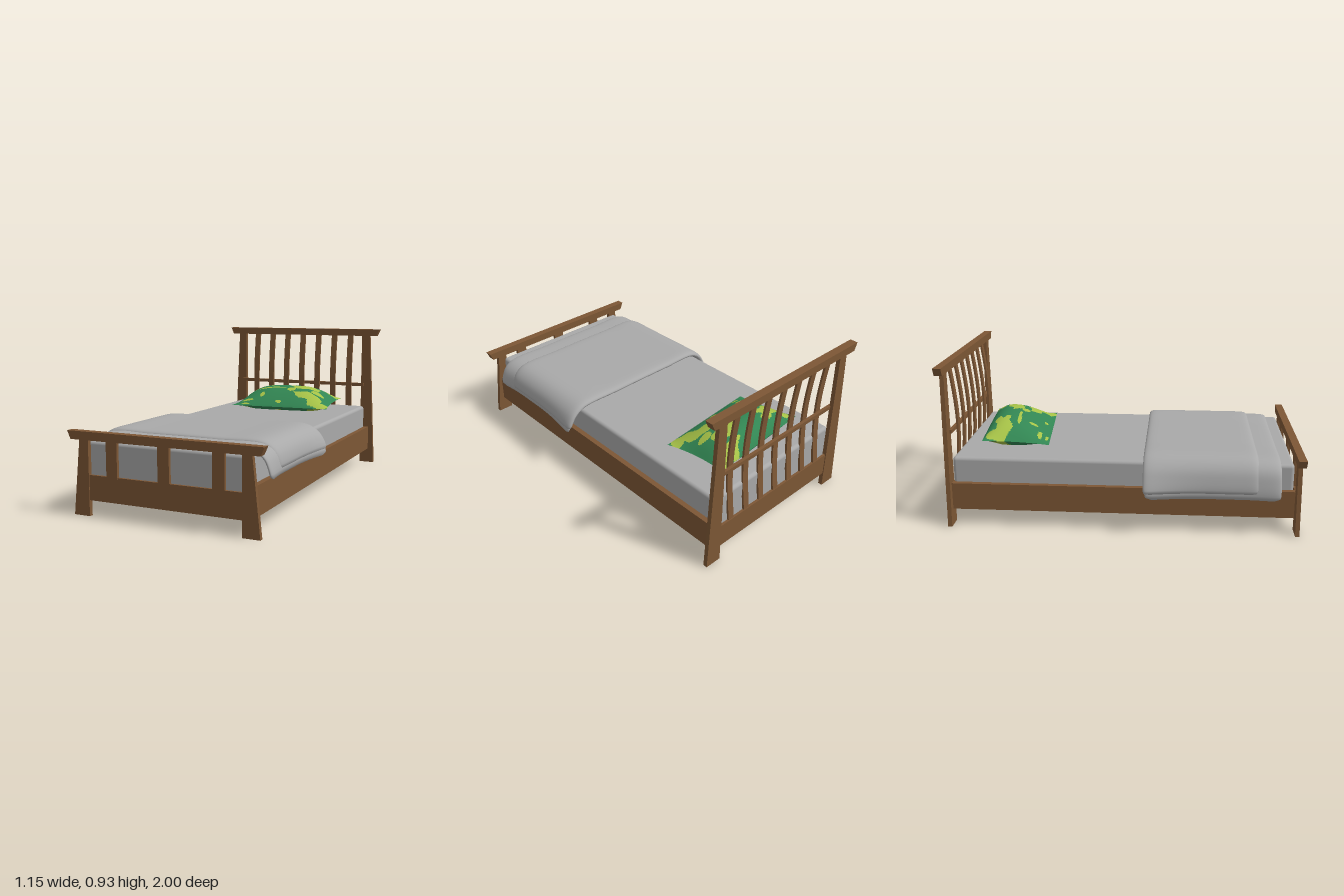
import * as THREE from 'three';
import { RoundedBoxGeometry } from 'three/addons/geometries/RoundedBoxGeometry.js';

const CX = 0.01; // centre line of the frame

function makeMaterial(name, color) {
  const m = new THREE.MeshStandardMaterial({ color });
  m.name = name;
  return m;
}

function addMesh(parent, name, geometry, material, x = 0, y = 0, z = 0) {
  const mesh = new THREE.Mesh(geometry, material);
  mesh.name = name;
  mesh.position.set(x, y, z);
  parent.add(mesh);
  return mesh;
}

// Box given by its limits on each axis
function addBox(parent, name, material, [x0, x1], [y0, y1], [z0, z1]) {
  return addMesh(parent, name, new THREE.BoxGeometry(x1 - x0, y1 - y0, z1 - z0), material,
    (x0 + x1) / 2, (y0 + y1) / 2, (z0 + z1) / 2);
}

// Flat outline in one plane, extruded from z0 to z1
function slab(points, z0, z1) {
  const shape = new THREE.Shape(points.map(([x, y]) => new THREE.Vector2(x, y)));
  return new THREE.ExtrudeGeometry(shape, { depth: z1 - z0, bevelEnabled: false }).translate(0, 0, z0);
}

// Grid surface from a rule; pick(a, b) chooses the material group of each cell
function gridSurface(na, nb, rule, flip = false, pick = () => 0, groups = 1) {
  const pos = [];
  for (let i = 0; i <= na; i++) for (let j = 0; j <= nb; j++) pos.push(...rule(i / na, j / nb));
  const lists = Array.from({ length: groups }, () => []);
  for (let i = 0; i < na; i++) for (let j = 0; j < nb; j++) {
    const p = i * (nb + 1) + j, q = p + nb + 1;
    const list = lists[pick((i + 0.5) / na, (j + 0.5) / nb)];
    if (flip) list.push(p, q, p + 1, p + 1, q, q + 1);
    else list.push(p, p + 1, q, p + 1, q + 1, q);
  }
  const g = new THREE.BufferGeometry();
  g.setAttribute('position', new THREE.Float32BufferAttribute(pos, 3));
  g.setIndex(lists.flat());
  let start = 0;
  lists.forEach((l, k) => { g.addGroup(start, l.length, k); start += l.length; });
  g.computeVertexNormals();
  return g;
}

// Two tapered posts, a recessed lower panel and a flared cap
function bedEnd(name, wood, height, z, back) {
  const end = new THREE.Group();
  end.name = name;
  for (const s of [-1, 1]) {
    const pts = [[0.439, 0], [0.535, 0], [0.493, height], [0.439, height]].map(([x, y]) => [CX + s * x, y]);
    addMesh(end, 'post', slab(pts, z - 0.012, z + 0.012), wood);
  }
  addBox(end, 'lowerPanel', wood, [CX - 0.44, CX + 0.44], [0.085, 0.22], [z - 0.007, z + 0.007]);
  const cap = [[-0.54, 0], [0.54, 0], [0.56, 0.045], [-0.56, 0.045]].map(([x, y]) => [CX + x, height + y]);
  addMesh(end, 'cap', slab(cap, back, back + 0.045), wood);
  return end;
}

// Folded blanket layer: a thick sheet hung along a path across the bed
function blanketLayer(path, z0, z1, thick) {
  const curve = new THREE.CatmullRomCurve3(path.map(([x, y]) => new THREE.Vector3(x, y, 0)));
  const mid = (z0 + z1) / 2, half = (z1 - z0) / 2;
  return gridSurface(90, 72, (a, b) => {
    const top = b <= 0.5;
    const s = Math.sin((top ? 4 * b - 1 : 3 - 4 * b) * Math.PI / 2);
    const p = curve.getPointAt(a), t = curve.getTangentAt(a);
    const hem = Math.sqrt(Math.max(0, 1 - Math.abs(2 * a - 1) ** 60));
    const edge = Math.sqrt(Math.max(0, 1 - Math.abs(s) ** 16));
    const n = (top ? 1 : -1) * thick * hem * edge;
    const z = mid + s * (half - 0.04 * (1 - hem));
    const drop = THREE.MathUtils.clamp((0.41 - p.y) / 0.16, 0, 1);
    const flare = 0.045 * Math.max(0, (0.5 - z) / 0.37) ** 2 + 0.015 * Math.max(0, (z - 0.65) / 0.2) ** 2;
    return [p.x - t.y * n + Math.sign(p.x) * drop * flare, p.y + t.x * n, z];
  });
}

// Light patches on the pillow: x, z, half width, half depth, turn
const PATCHES = [
  [-0.195, -0.715, 0.1, 0.045, 0.1], [-0.275, -0.76, 0.04, 0.05, 0], [-0.14, -0.75, 0.05, 0.025, 0.2],
  [0.25, -0.82, 0.1, 0.042, 0.1], [0.15, -0.79, 0.05, 0.015, 0.2],
  [0.14, -0.705, 0.095, 0.05, 0.2], [0.06, -0.635, 0.03, 0.025, 0.3], [-0.095, -0.638, 0.1, 0.01, 0.1],
  [0.18, -0.588, 0.09, 0.036, 0], [0.24, -0.65, 0.04, 0.025, 0], [0.285, -0.525, 0.075, 0.04, 0],
  [0.25, -0.56, 0.05, 0.04, 0], [-0.12, -0.55, 0.015, 0.03, 0], [-0.21, -0.5, 0.045, 0.012, 0],
  [0.02, -0.50, 0.02, 0.01, 0], [-0.2, -0.46, 0.03, 0.008, 0],
];

function isPatch(x, z) {
  const wob = 0.25 * Math.sin(x * 60 + z * 35) + 0.2 * Math.sin(z * 85 - x * 40);
  return PATCHES.some(([px, pz, w, d, turn]) => {
    const c = Math.cos(turn), s = Math.sin(turn), dx = x - px, dz = z - pz;
    return ((dx * c - dz * s) / w) ** 2 + ((dx * s + dz * c) / d) ** 2 < 1 + wob;
  });
}

// Pillow face: four corners, short sides drawn in, puffed away from the seam
function pillowPoint(a, b, side) {
  const u = 2 * a - 1, v = 2 * b - 1;
  const lerp = THREE.MathUtils.lerp;
  let x = lerp(lerp(-0.333, 0.339, a), lerp(-0.29, 0.36, a), b);
  const z = lerp(lerp(-0.815, -0.87, a), lerp(-0.435, -0.49, a), b);
  x -= u * 0.02 * (1 - v * v);
  const w = v + 0.22 * (1 - v * v); // fullest part sits nearer the headboard
  const puff = (1 - Math.abs(u) ** 3.5) ** 1.1 * (1 - Math.abs(w) ** 2.2) ** 0.85;
  const seam = lerp(0.452, 0.422, b);
  const y = side > 0 ? seam + 0.1 * puff : Math.max(0.397, seam - 0.08 * puff);
  return [x, y, z];
}

export function createModel() {
  const wood = makeMaterial('brownWood', 0x7d5735);
  const cloth = makeMaterial('greyCloth', 0xa9a9a9);
  const green = makeMaterial('darkGreen', 0x328653);
  const lime = makeMaterial('limeGreen', 0xa6c247);
  const bed = new THREE.Group();
  bed.name = 'bed';

  // Headboard with bowed slats and a thin crossbar
  const head = bedEnd('headboard', wood, 0.88, -0.974, -1);
  const bow = [];
  for (let i = 0; i <= 14; i++) bow.push([0.2 + 0.69 * i / 14, 0.03 * Math.sin(Math.PI * i / 14)]);
  const outline = [...bow.map(([y, z]) => [-z, y]), ...bow.reverse().map(([y, z]) => [0.012 - z, y])];
  const slat = slab(outline, -0.019, 0.019).rotateY(Math.PI / 2);
  for (let i = -3; i <= 3; i++) addMesh(head, 'headSlat', slat, wood, 0.014 + i * 0.117, 0, -0.968);
  addBox(head, 'crossbar', wood, [-0.45, 0.47], [0.532, 0.553], [-0.968, -0.95]);
  bed.add(head);

  // Footboard with three flat slats
  const foot = bedEnd('footboard', wood, 0.405, 0.976, 0.955);
  for (const x of [-0.288, 0.018, 0.323]) {
    addBox(foot, 'footSlat', wood, [x - 0.033, x + 0.033], [0.21, 0.41], [0.967, 0.985]);
  }
  bed.add(foot);

  // Side rails
  for (const s of [-1, 1]) {
    addBox(bed, 'sideRail', wood, [CX + s * 0.481 - 0.016, CX + s * 0.481 + 0.016], [0.095, 0.25], [-0.96, 0.956]);
  }

  // Mattress, resting high between the rails
  addMesh(bed, 'mattress', new RoundedBoxGeometry(0.934, 0.235, 1.905, 4, 0.02), cloth, CX, 0.2775, -0.0025);

  // Blanket folded into two layers over the foot end
  const blanket = new THREE.Group();
  blanket.name = 'blanket';
  addMesh(blanket, 'lowerLayer', blanketLayer([[-0.52, 0.21], [-0.512, 0.29], [-0.49, 0.365], [-0.44, 0.4],
    [-0.2, 0.404], [0.2, 0.404], [0.46, 0.4], [0.508, 0.368], [0.528, 0.315], [0.534, 0.262]],
  0.13, 0.875, 0.015), cloth);
  addMesh(blanket, 'upperLayer', blanketLayer([[-0.524, 0.238], [-0.514, 0.305], [-0.492, 0.368], [-0.44, 0.408],
    [-0.2, 0.414], [0.2, 0.414], [0.46, 0.408], [0.51, 0.372], [0.527, 0.33], [0.533, 0.285]],
  0.12, 0.755, 0.021), cloth);
  bed.add(blanket);

  // Patterned pillow, upper and lower faces
  for (const side of [1, -1]) {
    const pick = (a, b) => {
      const [x, , z] = pillowPoint(a, b, side);
      return isPatch(x, z) ? 1 : 0;
    };
    const face = gridSurface(120, 72, (a, b) => pillowPoint(a, b, side), side < 0, pick, 2);
    addMesh(bed, side > 0 ? 'pillowTop' : 'pillowUnderside', face, [green, lime]);
  }
  return bed;
}
